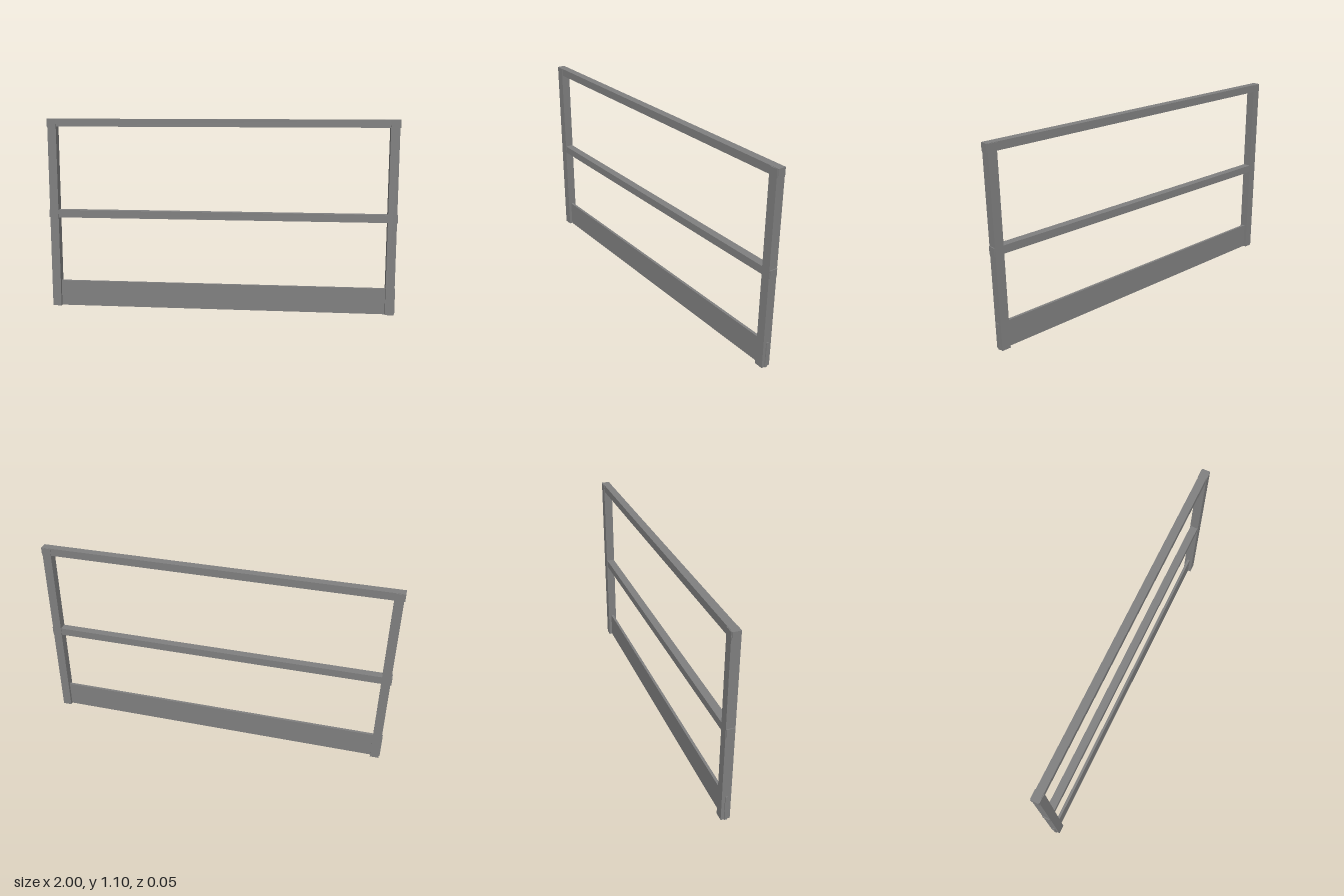
import * as THREE from 'three';

export function createModel() {
  const group = new THREE.Group();
  const steel = new THREE.MeshStandardMaterial({ color: 0x808080 });
  steel.name = 'grey steel';

  // Box standing on height y, centred on z = 0
  const bar = (name, width, height, depth, x, y) => {
    const mesh = new THREE.Mesh(new THREE.BoxGeometry(width, height, depth), steel);
    mesh.name = name;
    mesh.position.set(x, y + height / 2, 0);
    group.add(mesh);
  };

  // Upright posts, set slightly in from the rail ends
  for (const [name, side] of [['leftPost', 1], ['rightPost', -1]]) {
    bar(name, 0.05, 1.1, 0.05, side * 0.97, 0);
  }

  // Square rails, running through the posts
  bar('topRail', 2, 0.044, 0.044, 0, 1.058);
  bar('middleRail', 2, 0.044, 0.044, 0, 0.53);

  // Thin kick board along the ground
  bar('toeBoard', 2, 0.15, 0.015, 0, 0);

  return group;
}
